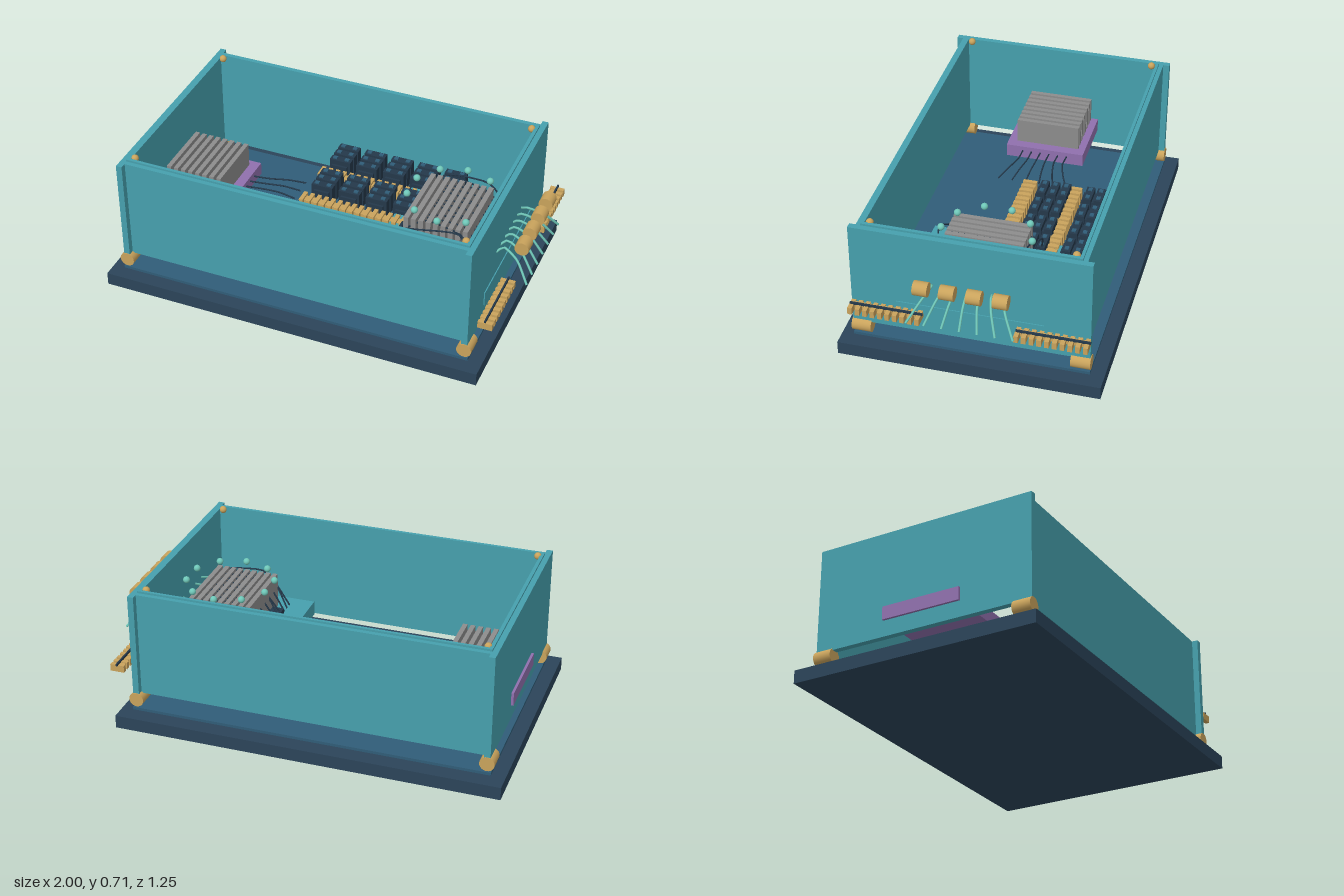
import * as THREE from 'three';

const mat = (color) => new THREE.MeshStandardMaterial({ color });

export function createModel() {
  const root = new THREE.Group();
  const navy = mat(0x2b4459), blue = mat(0x305d78), teal = mat(0x46a0ad), gold = mat(0xc9a35c);
  const purple = mat(0x9070ae), grey = mat(0x8c8c8c), chipDark = mat(0x24384a), mint = mat(0x6fc7b8);

  // Box from its min and max on each axis
  function box(name, m, x0, x1, y0, y1, z0, z1, parent = root) {
    const mesh = new THREE.Mesh(new THREE.BoxGeometry(x1 - x0, y1 - y0, z1 - z0), m);
    mesh.position.set((x0 + x1) / 2, (y0 + y1) / 2, (z0 + z1) / 2);
    mesh.name = name;
    parent.add(mesh);
    return mesh;
  }
  // Cylinder lying along z
  function barrel(name, m, r, len, x, y, z, parent = root) {
    const mesh = new THREE.Mesh(new THREE.CylinderGeometry(r, r, len, 24).rotateX(Math.PI / 2), m);
    mesh.position.set(x, y, z);
    mesh.name = name;
    parent.add(mesh);
  }
  function wire(name, m, r, points, parent = root) {
    const curve = new THREE.CatmullRomCurve3(points.map((p) => new THREE.Vector3(...p)), false, 'catmullrom', 0.3);
    const mesh = new THREE.Mesh(new THREE.TubeGeometry(curve, 16, r, 6), m);
    mesh.name = name;
    parent.add(mesh);
  }
  function group(name) {
    const g = new THREE.Group();
    g.name = name;
    root.add(g);
    return g;
  }

  // Base and floor plate
  box('base', navy, -1, 0.895, 0, 0.065, -0.625, 0.62);
  box('floorPlate', blue, -0.935, 0.83, 0.077, 0.091, -0.56, 0.56);

  // Walls, with end panels projecting past the long panels
  const walls = group('walls');
  box('endWall', teal, -0.93, -0.9, 0.16, 0.685, -0.56, 0.56, walls);
  box('endWall', teal, 0.795, 0.825, 0.16, 0.685, -0.56, 0.56, walls);
  for (const s of [-1, 1]) {
    const z = s * 0.514;
    box('longWall', teal, -0.9, 0.795, 0.16, 0.685, z - 0.016, z + 0.016, walls);
  }

  // Thin top rim
  const rim = new THREE.Shape();
  const rect = (p, x, z) => p.moveTo(-x, -z).lineTo(x, -z).lineTo(x, z).lineTo(-x, z).closePath();
  rect(rim, 0.85, 0.508);
  const hole = new THREE.Path();
  rect(hole, 0.833, 0.493);
  rim.holes.push(hole);
  const rimMesh = new THREE.Mesh(
    new THREE.ExtrudeGeometry(rim, { depth: 0.012, bevelEnabled: false }).rotateX(-Math.PI / 2), teal);
  rimMesh.position.set(-0.053, 0.683, 0);
  rimMesh.name = 'topRim';
  root.add(rimMesh);

  // Corner screws and round feet
  for (const sz of [-1, 1]) {
    for (const x of [-0.875, 0.767]) {
      const screw = new THREE.Mesh(new THREE.SphereGeometry(0.018, 16, 12), gold);
      screw.position.set(x, 0.688, sz * 0.473);
      screw.name = 'rimScrew';
      root.add(screw);
    }
    for (const x of [-0.915, 0.81]) barrel('foot', gold, 0.036, 0.092, x, 0.135, sz * 0.517);
  }

  // Purple block with cooling fins and signal wires
  const power = group('powerBlock');
  box('powerBody', purple, -0.942, -0.548, 0.24, 0.305, -0.2, 0.2, power);
  for (let i = 0; i < 8; i++) {
    const x = -0.89 + i * 0.0385;
    box('powerFin', grey, x, x + 0.023, 0.305, 0.43, -0.165, 0.155, power);
  }
  for (let i = 0; i < 6; i++) {
    const t = (i - 2.5) / 2.5;
    wire('powerWire', chipDark, 0.004,
      [[-0.55, 0.28, t * 0.115], [-0.46, 0.29, t * 0.115], [-0.37, 0.29, t * 0.14], [-0.29, 0.27, t * 0.175]], power);
  }

  // Two banks of chips, each with a gold contact row
  const bank = group('chipBanks');
  for (const z of [-0.45, -0.22]) {
    for (let i = 0; i < 5; i++) {
      const x = -0.215 + i * 0.143;
      for (let k = 0; k < 3; k++) {
        box('chip', chipDark, x, x + 0.11, 0.25, 0.355, z + k * 0.054, z + k * 0.054 + 0.04, bank);
        for (const dx of [0.012, 0.075])
          box('chipPad', blue, x + dx, x + dx + 0.022, 0.355, 0.361, z + k * 0.054 + 0.01, z + k * 0.054 + 0.03, bank);
      }
      box('chipBoard', chipDark, x + 0.015, x + 0.095, 0.24, 0.33, z, z + 0.16, bank);
    }
    for (let i = 0; i < 19; i++) {
      const x = -0.24 + i * 0.0373;
      box('contact', gold, x, x + 0.02, 0.26, 0.325, z + 0.178, z + 0.248, bank);
    }
    box('contactBar', gold, -0.24, 0.45, 0.27, 0.315, z + 0.195, z + 0.23, bank);
  }

  // Processor board whose edge shows through the end wall
  const cpu = group('processor');
  box('processorBoard', teal, 0.23, 0.83, 0.24, 0.312, -0.345, 0.345, cpu);
  box('processorCore', grey, 0.375, 0.685, 0.312, 0.36, -0.17, 0.19, cpu);
  for (const z of [-0.09, 0.09])
    box('processorSocket', chipDark, 0.31, 0.73, 0.312, 0.37, z - 0.035, z + 0.035, cpu);
  for (let i = 0; i < 9; i++) {
    const x = 0.37 + i * 0.0365;
    box('heatSinkFin', grey, x, x + 0.024, 0.34, 0.515, -0.175, 0.2, cpu);
  }
  // Wavy wires across the heat sink
  for (let i = 0; i < 12; i++) {
    const z = -0.225 + i * 0.041;
    const d = 0.02 * Math.sin(i * 2.1);
    wire('processorWire', chipDark, 0.004,
      [[0.31, 0.35, z * 0.9], [0.38, 0.45, z + d], [0.47, 0.5, z - d], [0.64, 0.5, z + d], [0.71, 0.43, z], [0.77, 0.36, z * 0.85]], cpu);
  }
  // Ring of indicator beads
  for (let i = 0; i < 10; i++) {
    const a = ((i * 36 + 18) * Math.PI) / 180;
    const bead = new THREE.Mesh(new THREE.SphereGeometry(0.017, 16, 12), mint);
    bead.position.set(0.54 + 0.215 * Math.cos(a), 0.55, 0.215 * Math.sin(a));
    bead.name = 'bead';
    cpu.add(bead);
  }

  // Output wires leaving through the end wall
  const out = group('outputs');
  for (let i = -3; i <= 3; i++) {
    wire('outputWire', mint, 0.006,
      [[0.755, 0.38, i * 0.105], [0.82, 0.43, i * 0.062], [0.855, 0.455, i * 0.055],
        [0.93, 0.42, i * 0.065], [0.995, 0.338, i * 0.082]], out);
  }
  // Round connectors
  for (const z of [-0.181, -0.06, 0.062, 0.183]) barrel('roundConnector', gold, 0.034, 0.068, 0.95, 0.51, z, out);
  // Toothed connectors
  for (const z0 of [-0.572, 0.203]) {
    for (let i = 0; i < 10; i++) {
      const z = z0 + 0.004 + i * 0.0352;
      box('connectorTooth', gold, 0.862, 0.932, 0.277, 0.312, z, z + 0.021, out);
    }
    box('connectorBar', chipDark, 0.892, 0.9, 0.31, 0.322, z0 - 0.003, z0 + 0.34, out);
    box('connectorSpine', gold, 0.87, 0.892, 0.285, 0.308, z0 + 0.004, z0 + 0.335, out);
  }
  return root;
}
